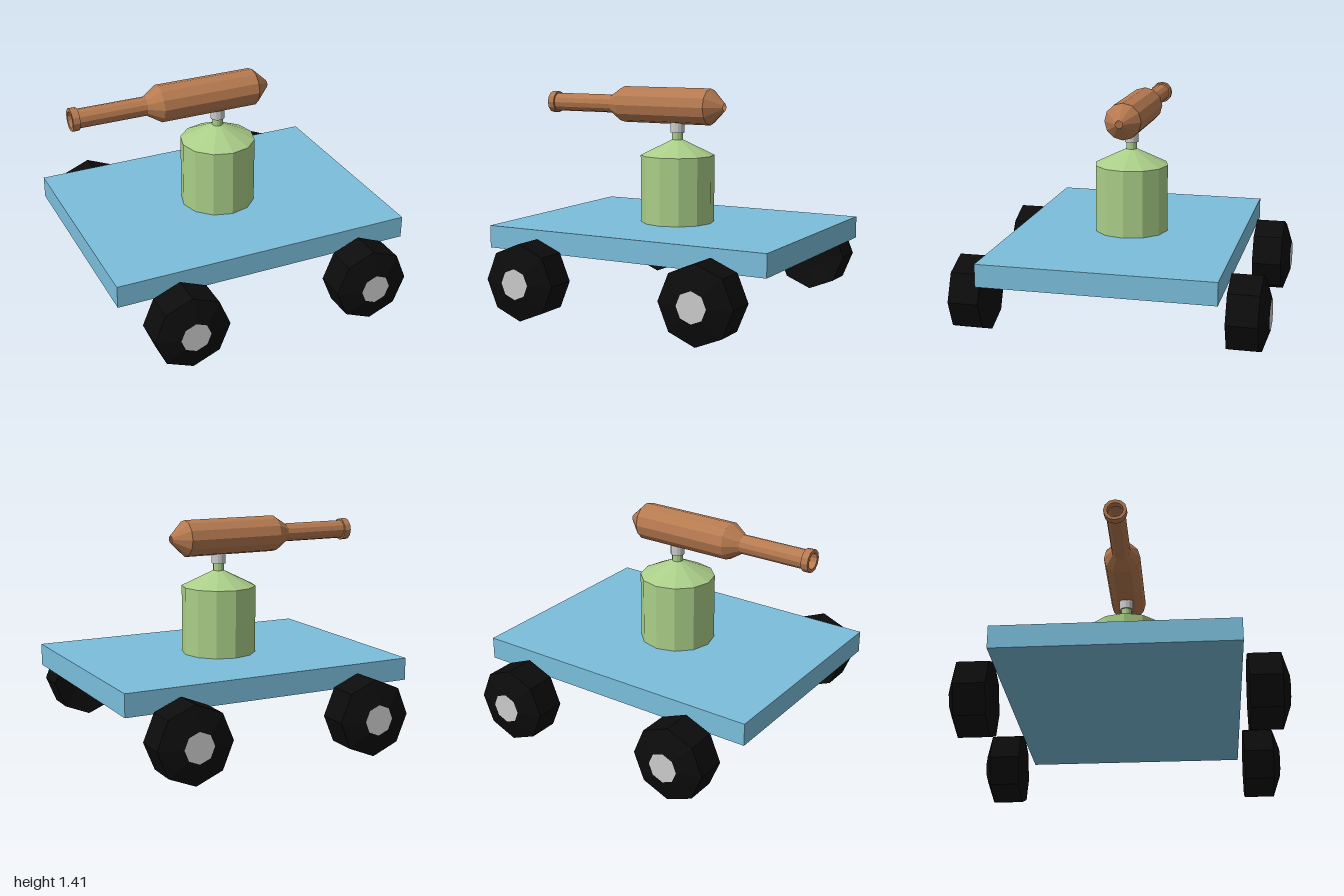
import * as THREE from 'three';

const mat = (color, side = THREE.FrontSide) =>
  new THREE.MeshStandardMaterial({ color, flatShading: true, side });

const green = mat(0xaace88);
const blue = mat(0x7bbedc);
const copper = mat(0xb67a50, THREE.DoubleSide);
const black = mat(0x0c0c0c);
const grey = mat(0xcccccc);

function part(name, geometry, material) {
  const mesh = new THREE.Mesh(geometry, material);
  mesh.name = name;
  return mesh;
}

// Faceted turned shape from [radius, height] pairs, listed bottom to top
const turned = (pairs, sides) =>
  new THREE.LatheGeometry(pairs.map(([r, y]) => new THREE.Vector2(r, y)), sides);

// Wheel with its outer face towards +z
function makeWheel() {
  const wheel = new THREE.Group();
  wheel.name = 'wheel';
  const tyre = turned([[0, 0.79], [0.096, 0.79], [0.242, 0.757], [0.242, 0.95], [0.096, 1]], 8);
  tyre.rotateX(Math.PI / 2);
  const hub = new THREE.CircleGeometry(0.096, 8).translate(0, 0, 1);
  wheel.add(part('tyre', tyre, black), part('hub', hub, grey));
  return wheel;
}

export function createModel() {
  const model = new THREE.Group();
  model.name = 'cannonCart';

  // Flat deck
  const deck = part('deck', new THREE.BoxGeometry(1.94, 0.143, 1.46), blue);
  deck.position.y = 0.467;
  model.add(deck);

  // Four wheels standing clear of the deck
  for (const x of [-0.586, 0.63]) {
    for (const side of [1, -1]) {
      const wheel = makeWheel();
      wheel.position.set(x, 0.245, 0);
      if (side < 0) wheel.rotation.y = Math.PI;
      model.add(wheel);
    }
  }

  // Pedestal with conical roof and neck
  model.add(part('pedestal', turned(
    [[0, 0.53], [0.24, 0.53], [0.24, 0.975], [0.035, 1.075], [0.035, 1.13], [0, 1.13]], 12), green));

  // Swivel joint
  const joint = part('joint', new THREE.CylinderGeometry(0.045, 0.045, 0.09, 12), grey);
  joint.position.y = 1.165;
  model.add(joint);

  // Hollow barrel pointing to -x, with a muzzle ring and an open tail
  const barrel = turned([
    [0.05, -0.925], [0.05, -0.97], [0.072, -0.97], [0.072, -0.925], [0.06, -0.925],
    [0.06, -0.49], [0.118, -0.4], [0.118, 0.24], [0.024, 0.34],
  ], 12);
  barrel.rotateZ(-Math.PI / 2);
  const gun = part('barrel', barrel, copper);
  gun.position.y = 1.293;
  model.add(gun);

  return model;
}
